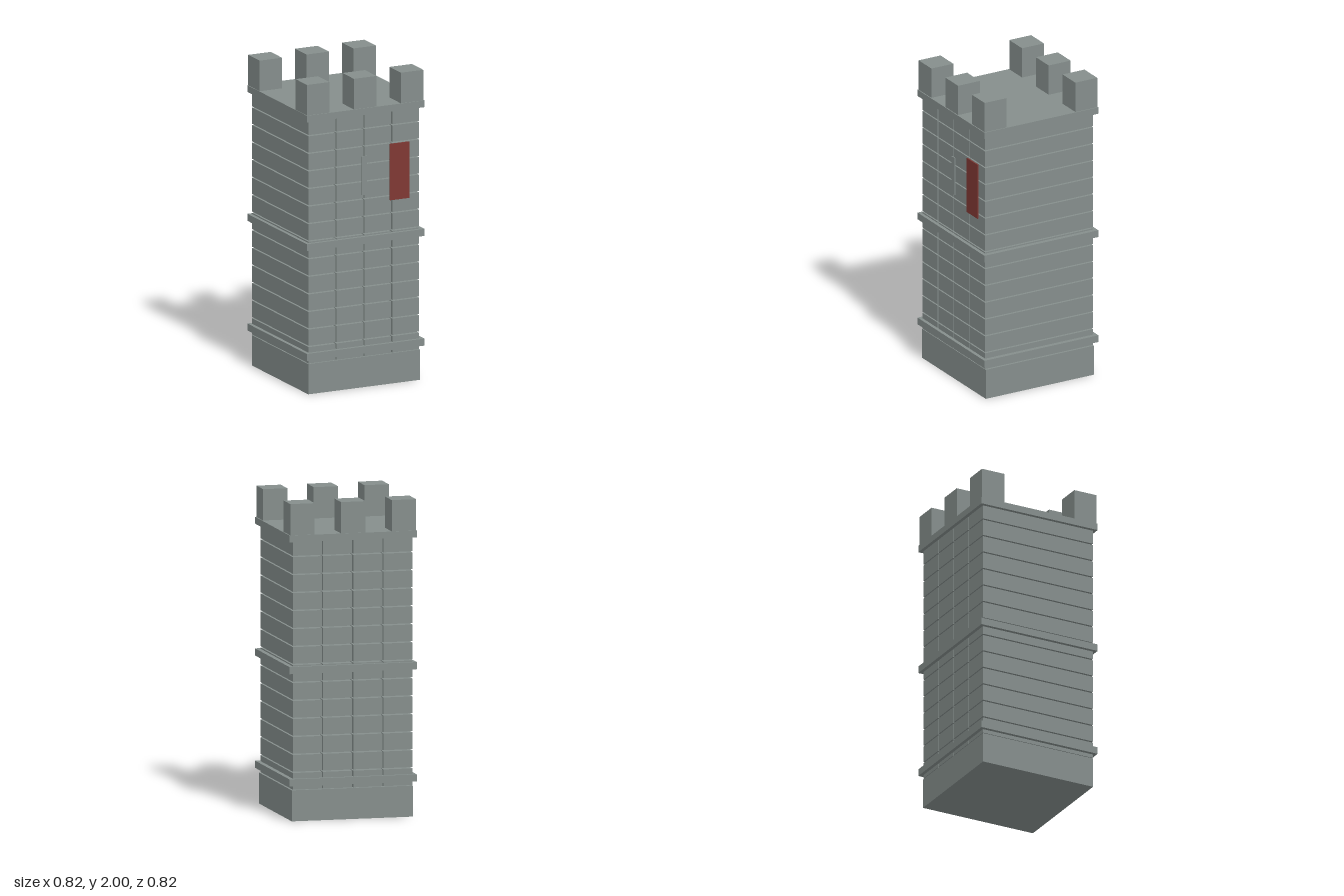
import * as THREE from 'three';

export function createModel() {
  const tower = new THREE.Group();
  tower.name = 'tower';
  const stone = new THREE.MeshStandardMaterial({ color: 0x858e8c });
  stone.name = 'stone grey';
  const cloth = new THREE.MeshStandardMaterial({ color: 0x7f3833 });
  cloth.name = 'banner red';

  // Box given by its minimum and maximum corners
  const block = (name, material, [x0, y0, z0], [x1, y1, z1], parent = tower) => {
    const mesh = new THREE.Mesh(new THREE.BoxGeometry(x1 - x0, y1 - y0, z1 - z0), material);
    mesh.position.set((x0 + x1) / 2, (y0 + y1) / 2, (z0 + z1) / 2);
    mesh.name = name;
    parent.add(mesh);
  };

  // Solid foundation
  block('foundation', stone, [-0.39, 0, -0.39], [0.39, 0.195, 0.39]);

  // Stone courses: blocks running the full depth, with open joints between
  const courses = new THREE.Group();
  courses.name = 'stoneCourses';
  tower.add(courses);
  for (let row = 0; row < 14; row++) {
    const y = 0.199 + row * 0.1132;
    for (let col = 0; col < 4; col++) {
      const x = -0.388 + col * 0.1945;
      block('stoneBlock', stone, [x, y, -0.39], [x + 0.187, y + 0.105, 0.39], courses);
    }
  }

  // Projecting ledges; the top one carries the roof deck
  for (const [name, y0, y1] of [['lowerLedge', 0.223, 0.268], ['middleLedge', 0.93, 0.975], ['roofDeck', 1.76, 1.803]]) {
    block(name, stone, [-0.411, y0, -0.412], [0.411, y1, 0.412]);
  }

  // Battlements along the front and back
  for (const z of [-0.407, 0.248]) {
    for (const x of [-0.407, -0.08, 0.247]) {
      block('merlon', stone, [x, 1.8, z], [x + 0.157, 2, z + 0.158]);
    }
  }

  // Arrow slit and hanging banner on the front
  block('arrowSlit', stone, [-0.018, 1.24, 0.388], [0.016, 1.49, 0.396]);
  block('banner', cloth, [0.175, 1.185, 0.394], [0.308, 1.548, 0.402]);

  return tower;
}
